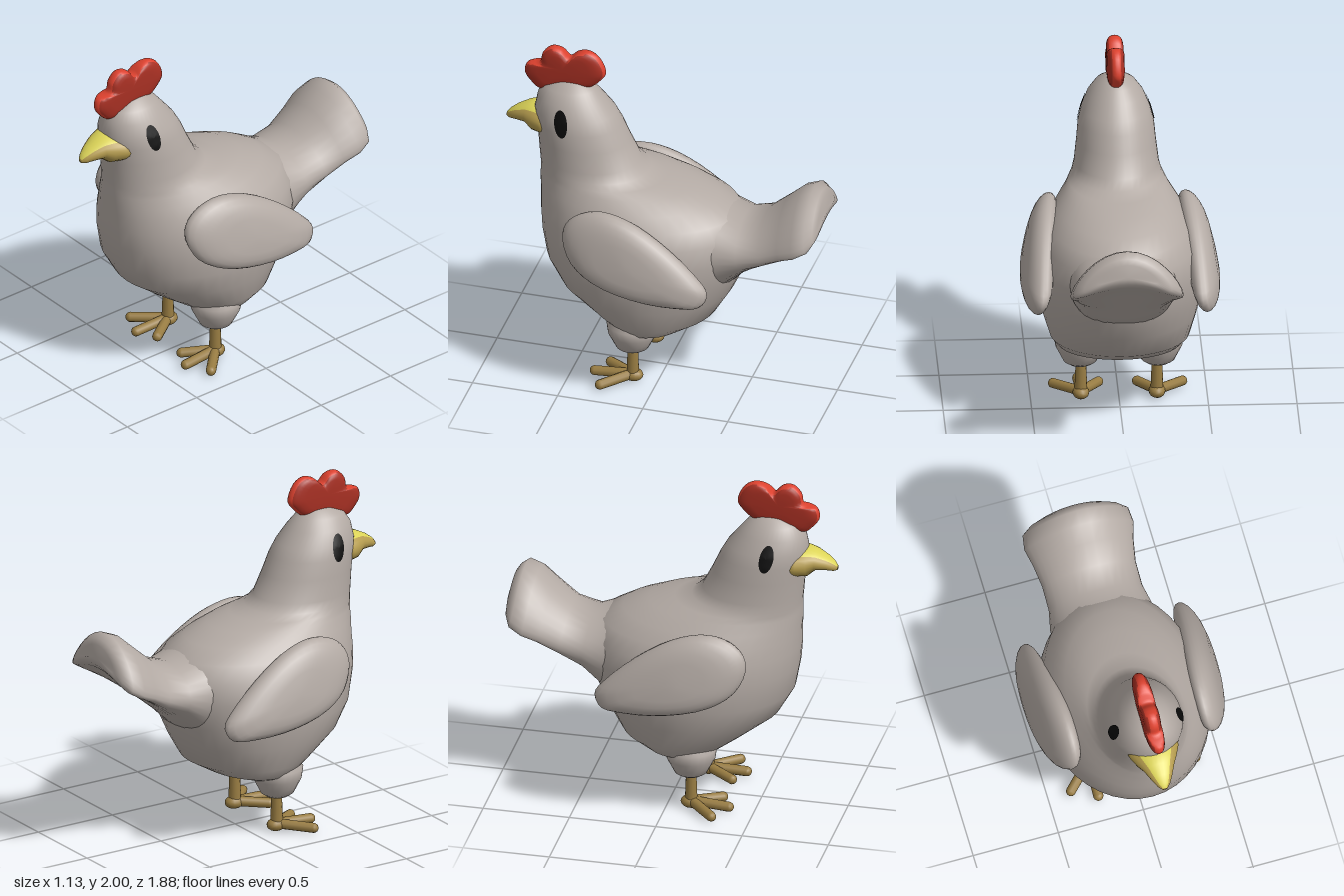
import * as THREE from 'three';

const mat = (name, color, extra) => Object.assign(new THREE.MeshStandardMaterial({ color, ...extra }), { name });
const V = (x, y, z) => new THREE.Vector3(x, y, z);

// Closed smooth skin through rings of equal length, with both ends capped at their centres
function loft(rings) {
  const n = rings[0].length, last = rings.length - 1, pos = [], index = [];
  rings.forEach(r => r.forEach(p => pos.push(p.x, p.y, p.z)));
  const start = (last + 1) * n, end = start + 1;
  [rings[0], rings[last]].forEach(r => {
    const c = r.reduce((s, p) => s.add(p), V(0, 0, 0)).divideScalar(n);
    pos.push(c.x, c.y, c.z);
  });
  for (let j = 0; j < n; j++) {
    const k = (j + 1) % n;
    for (let i = 0; i < last; i++) {
      const a = i * n + j, b = i * n + k;
      index.push(a, b, b + n, a, b + n, a + n);
    }
    index.push(start, k, j, end, last * n + j, last * n + k);
  }
  const g = new THREE.BufferGeometry();
  g.setAttribute('position', new THREE.Float32BufferAttribute(pos, 3));
  g.setIndex(index);
  g.computeVertexNormals();
  return g;
}

// Two material groups: faces whose normal passes the test come first
function splitByNormal(g, test) {
  const p = g.attributes.position, index = g.index.array, yes = [], no = [];
  const tri = new THREE.Triangle(), normal = V(0, 0, 0);
  for (let i = 0; i < index.length; i += 3) {
    const face = [index[i], index[i + 1], index[i + 2]];
    tri.setFromAttributeAndIndices(p, ...face);
    (test(tri.getNormal(normal)) ? yes : no).push(...face);
  }
  g.setIndex([...yes, ...no]);
  g.addGroup(0, yes.length, 0);
  g.addGroup(yes.length, no.length, 1);
  return g;
}

const ring = (n, f) => Array.from({ length: n }, (_, i) => {
  const a = i / n * Math.PI * 2;
  return f(Math.sin(a), Math.cos(a));
});

// Puffed shape from a [z, y] side outline; centreX(y, z) bends it
function pillow(outline, count, half, power, centreX) {
  const curve = new THREE.CatmullRomCurve3(outline.map(([z, y]) => V(0, y, z)).reverse(), true);
  const pts = curve.getPoints(count).slice(0, count);
  const c = pts.reduce((s, p) => s.add(p), V(0, 0, 0)).divideScalar(count);
  const rings = [];
  for (let i = 0; i <= 12; i++) {
    const a = (i / 12 - 0.5) * Math.PI * 0.98;
    rings.push(pts.map(p => {
      const q = c.clone().lerp(p, Math.cos(a) ** power);
      q.x = centreX(q.y, q.z) + half * Math.sin(a);
      return q;
    }));
  }
  return loft(rings);
}

// Body, neck and head levels: [y, front z, back z, half width]
const LEVELS = [
  [0.305, 0.2, 0.05, 0.14], [0.33, 0.27, -0.07, 0.27], [0.37, 0.325, -0.18, 0.345],
  [0.44, 0.425, -0.3, 0.395], [0.58, 0.61, -0.385, 0.442], [0.72, 0.69, -0.45, 0.472],
  [0.88, 0.72, -0.49, 0.475], [1.0, 0.73, -0.48, 0.445], [1.09, 0.73, -0.42, 0.4],
  [1.16, 0.735, -0.3, 0.35], [1.22, 0.735, -0.15, 0.3], [1.25, 0.735, 0.0, 0.275],
  [1.28, 0.735, 0.1, 0.255], [1.33, 0.74, 0.16, 0.24], [1.45, 0.75, 0.22, 0.225],
  [1.55, 0.765, 0.265, 0.215], [1.62, 0.77, 0.305, 0.195], [1.7, 0.755, 0.37, 0.16],
  [1.76, 0.715, 0.42, 0.115], [1.8, 0.64, 0.48, 0.06], [1.81, 0.59, 0.53, 0.02],
];

// Head surface x at a given height and depth
function surfaceX(y, z) {
  const i = LEVELS.findIndex(l => l[0] > y);
  const a = LEVELS[i - 1], b = LEVELS[i], t = (y - a[0]) / (b[0] - a[0]);
  const [, zf, zb, hw] = a.map((v, k) => v + (b[k] - v) * t);
  const u = (z - (zf + zb) / 2) / ((zf - zb) / 2);
  return hw * Math.sqrt(Math.max(0, 1 - u * u));
}

export function createModel() {
  const model = new THREE.Group();
  model.name = 'hen';
  const feather = mat('grey feathers', 0xb3aaa4);
  const red = mat('bright red comb rim', 0xdc412e);
  const darkRed = mat('dark red comb sides', 0xa83023);
  const yellow = mat('yellow beak ridge', 0xdcd458);
  const ochre = mat('ochre beak sides', 0xb59c4e);
  const tan = mat('tan legs', 0x987c42);
  const black = mat('black eyes', 0x0a0a0a, { side: THREE.DoubleSide });
  const add = (parent, name, geometry, material) => {
    const m = new THREE.Mesh(geometry, material);
    m.name = name;
    parent.add(m);
    return m;
  };

  add(model, 'body', loft(LEVELS.map(([y, zf, zb, hw]) =>
    ring(40, (s, c) => V(hw * s, y, (zf + zb) / 2 + c * (zf - zb) / 2)))), feather);

  // Tail: top z, top y, bottom z, bottom y, half width, droop at the sides
  const tail = [
    [-0.15, 1.19, -0.2, 0.65, 0.3, 0], [-0.32, 1.14, -0.4, 0.66, 0.3, 0],
    [-0.46, 1.08, -0.5, 0.77, 0.275, 0.01], [-0.59, 1.125, -0.64, 0.89, 0.275, 0.06],
    [-0.7, 1.22, -0.76, 1.0, 0.295, 0.11], [-0.79, 1.3, -0.85, 1.08, 0.32, 0.15],
    [-0.865, 1.33, -0.92, 1.13, 0.31, 0.15], [-0.905, 1.3, -0.945, 1.16, 0.25, 0.11],
    [-0.925, 1.27, -0.945, 1.19, 0.17, 0.06],
  ];
  add(model, 'tail', loft(tail.map(([tz, ty, bz, by, hw, droop]) => ring(32, (s, c) => V(
    hw * s, (ty + by) / 2 + c * (ty - by) / 2 - droop * s * s, (tz + bz) / 2 + c * (tz - bz) / 2)))), feather);

  // Beak: z, top y, bottom y, half width
  const beak = [[0.66, 1.61, 1.45, 0.155], [0.72, 1.622, 1.45, 0.142], [0.775, 1.62, 1.452, 0.115],
    [0.82, 1.605, 1.492, 0.09], [0.88, 1.575, 1.492, 0.06], [0.92, 1.545, 1.488, 0.036], [0.94, 1.52, 1.495, 0.015]];
  const beakShape = loft(beak.map(([z, t, b, hw]) =>
    ring(24, (s, c) => V(-hw * s, (t + b) / 2 + c * (t - b) / 2, z))));
  add(model, 'beak', splitByNormal(beakShape, n => n.y > 0 && Math.abs(n.x) < 0.75 * n.y), [yellow, ochre]);

  const combOutline = [[0.75, 1.715], [0.8, 1.755], [0.835, 1.81], [0.82, 1.87], [0.745, 1.89], [0.73, 1.95],
    [0.68, 1.998], [0.62, 1.99], [0.57, 1.945], [0.52, 1.985], [0.46, 1.998], [0.4, 1.965], [0.36, 1.87],
    [0.39, 1.82], [0.45, 1.77], [0.58, 1.74]];
  const combShape = pillow(combOutline, 56, 0.05, 0.35, () => 0);
  add(model, 'comb', splitByNormal(combShape, n => Math.abs(n.x) < 0.6), [red, darkRed]);

  const wingOutline = [[0.5, 1.0], [0.48, 1.09], [0.4, 1.16], [0.27, 1.193], [0.1, 1.16], [-0.1, 1.05], [-0.3, 0.88],
    [-0.365, 0.79], [-0.33, 0.72], [-0.2, 0.705], [0.05, 0.72], [0.3, 0.78], [0.44, 0.87]];
  const wingX = (y, z) => 0.402 + (1.19 - y) * 0.22 - 0.2 * (z - 0.06) ** 2;

  for (const side of [1, -1]) {
    const half = new THREE.Group();
    half.name = side > 0 ? 'leftSide' : 'rightSide';
    half.scale.x = side;
    model.add(half);

    add(half, 'wing', pillow(wingOutline, 40, 0.085, 0.6, wingX), feather);

    // Eye: thin tilted oval following the head
    const eye = new THREE.RingGeometry(0.001, 1, 24, 4), p = eye.attributes.position;
    for (let i = 0; i < p.count; i++) {
      const dy = p.getY(i) * 0.077;
      const y = 1.61 + dy, z = 0.57 - p.getX(i) * 0.04 + dy * 0.12;
      p.setXYZ(i, surfaceX(y, z) + 0.005, y, z);
    }
    eye.computeVertexNormals();
    add(half, 'eye', eye, black);

    // Feathered thigh
    const thigh = [[0, 0.217], [0.065, 0.22], [0.095, 0.24], [0.115, 0.28], [0.14, 0.33], [0.148, 0.39], [0.1, 0.47]];
    add(half, 'thigh', new THREE.LatheGeometry(thigh.map(q => new THREE.Vector2(...q)), 24), feather)
      .position.set(0.22, 0, 0.14);

    // Shank and three spread toes
    add(half, 'shank', new THREE.CylinderGeometry(0.029, 0.037, 0.22, 12), tan).position.set(0.215, 0.14, 0.14);
    const heel = add(half, 'heel', new THREE.SphereGeometry(0.05, 14, 10), tan);
    heel.scale.set(0.95, 0.75, 1.15);
    heel.position.set(0.215, 0.04, 0.137);
    for (const [x, z] of [[0.365, 0.29], [0.225, 0.36], [0.11, 0.3]]) {
      const from = V(0.215, 0.045, 0.14), to = V(x, 0.033, z), d = to.clone().sub(from);
      const toe = add(half, 'toe', new THREE.CapsuleGeometry(0.029, d.length(), 5, 10), tan);
      toe.position.copy(from).addScaledVector(d, 0.5);
      toe.quaternion.setFromUnitVectors(V(0, 1, 0), d.normalize());
    }
  }
  return model;
}
